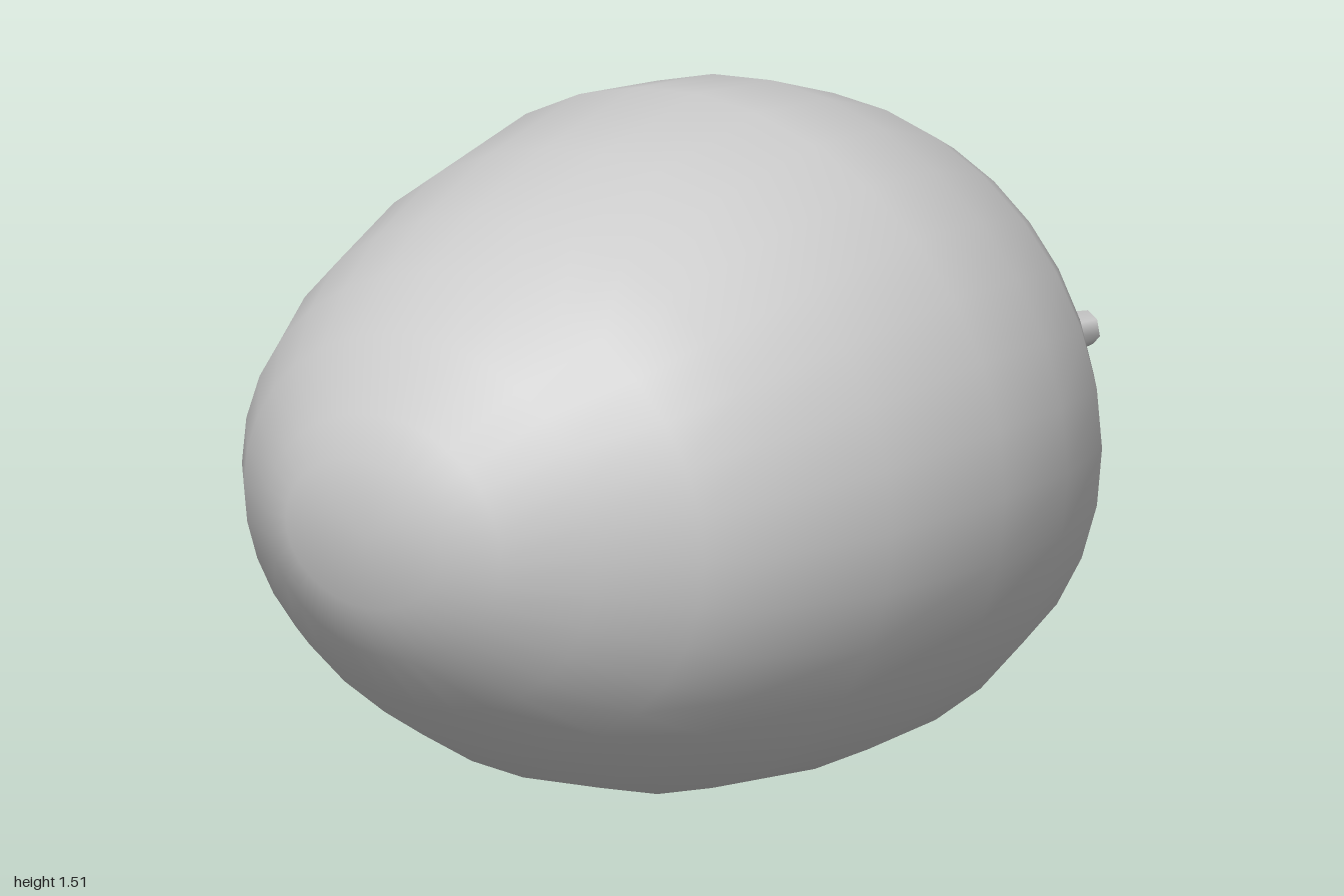
import * as THREE from 'three';
import { mergeVertices } from 'three/addons/utils/BufferGeometryUtils.js';

// Cross-sections along x: [x, bottom y, top y, back z, front z]
const SECTIONS = [
  [-1, 0.77, 0.77, -0.08, -0.08],
  [-0.97, 0.6, 0.93, -0.32, 0.1],
  [-0.92, 0.48, 1.02, -0.41, 0.22],
  [-0.8, 0.34, 1.17, -0.56, 0.39],
  [-0.66, 0.22, 1.28, -0.67, 0.57],
  [-0.5, 0.12, 1.37, -0.74, 0.67],
  [-0.25, 0.04, 1.46, -0.8, 0.77],
  [0.08, 0.005, 1.52, -0.83, 0.825],
  [0.35, 0.005, 1.485, -0.805, 0.79],
  [0.58, 0.065, 1.4, -0.73, 0.71],
  [0.7, 0.14, 1.335, -0.65, 0.61],
  [0.77, 0.19, 1.28, -0.59, 0.53],
  [0.84, 0.26, 1.2, -0.49, 0.43],
  [0.9, 0.34, 1.12, -0.4, 0.33],
  [0.95, 0.45, 1.05, -0.31, 0.24],
  [0.985, 0.61, 0.96, -0.18, 0.07],
  [1, 0.82, 0.82, -0.07, -0.07],
];
const SIDES = 32;
const DENT = new THREE.Vector3(0.84, 0.87, 0.41);
const STEM_AXIS = new THREE.Vector3(0.93, 0, 0.36).normalize();

// Lofted egg-shaped body with a dimple around the stem
function bodyGeometry() {
  const positions = [];
  const index = [];
  const p = new THREE.Vector3();
  SECTIONS.forEach(([x, y0, y1, z0, z1], i) => {
    for (let j = 0; j < SIDES; j++) {
      const a = (j / SIDES) * Math.PI * 2;
      p.set(
        x,
        (y0 + y1) / 2 + ((y1 - y0) / 2) * Math.sin(a),
        (z0 + z1) / 2 + ((z1 - z0) / 2) * Math.cos(a)
      );
      const depth = 0.055 * Math.exp(-p.distanceToSquared(DENT) / 0.014);
      p.addScaledVector(STEM_AXIS, -depth);
      positions.push(p.x, p.y, p.z);
      if (i < SECTIONS.length - 1) {
        const k = (j + 1) % SIDES;
        const a0 = i * SIDES + j, a1 = i * SIDES + k;
        const b0 = a0 + SIDES, b1 = a1 + SIDES;
        if (i < SECTIONS.length - 2) index.push(a0, b0, b1);
        else index.push(a0, b0, a1);
        if (i > 0 && i < SECTIONS.length - 2) index.push(a0, b1, a1);
      }
    }
  });
  let geometry = new THREE.BufferGeometry();
  geometry.setAttribute('position', new THREE.Float32BufferAttribute(positions, 3));
  geometry.setIndex(index);
  geometry = mergeVertices(geometry, 1e-4); // join the points at each pole
  geometry.computeVertexNormals();
  return geometry;
}

export function createModel() {
  const group = new THREE.Group();
  group.name = 'fruit';
  const material = new THREE.MeshStandardMaterial({ color: 0xcccccc });

  const body = new THREE.Mesh(bodyGeometry(), material);
  body.name = 'body';
  group.add(body);

  // Short tapered stem rising from the dimple
  const base = new THREE.Vector3(0.78, 0.86, 0.37);
  const tip = new THREE.Vector3(0.925, 0.87, 0.42);
  const direction = tip.clone().sub(base);
  const stem = new THREE.Mesh(
    new THREE.CylinderGeometry(0.037, 0.06, direction.length(), 6),
    material
  );
  stem.name = 'stem';
  stem.position.copy(base).add(tip).multiplyScalar(0.5);
  stem.quaternion.setFromUnitVectors(new THREE.Vector3(0, 1, 0), direction.normalize());
  group.add(stem);

  return group;
}
